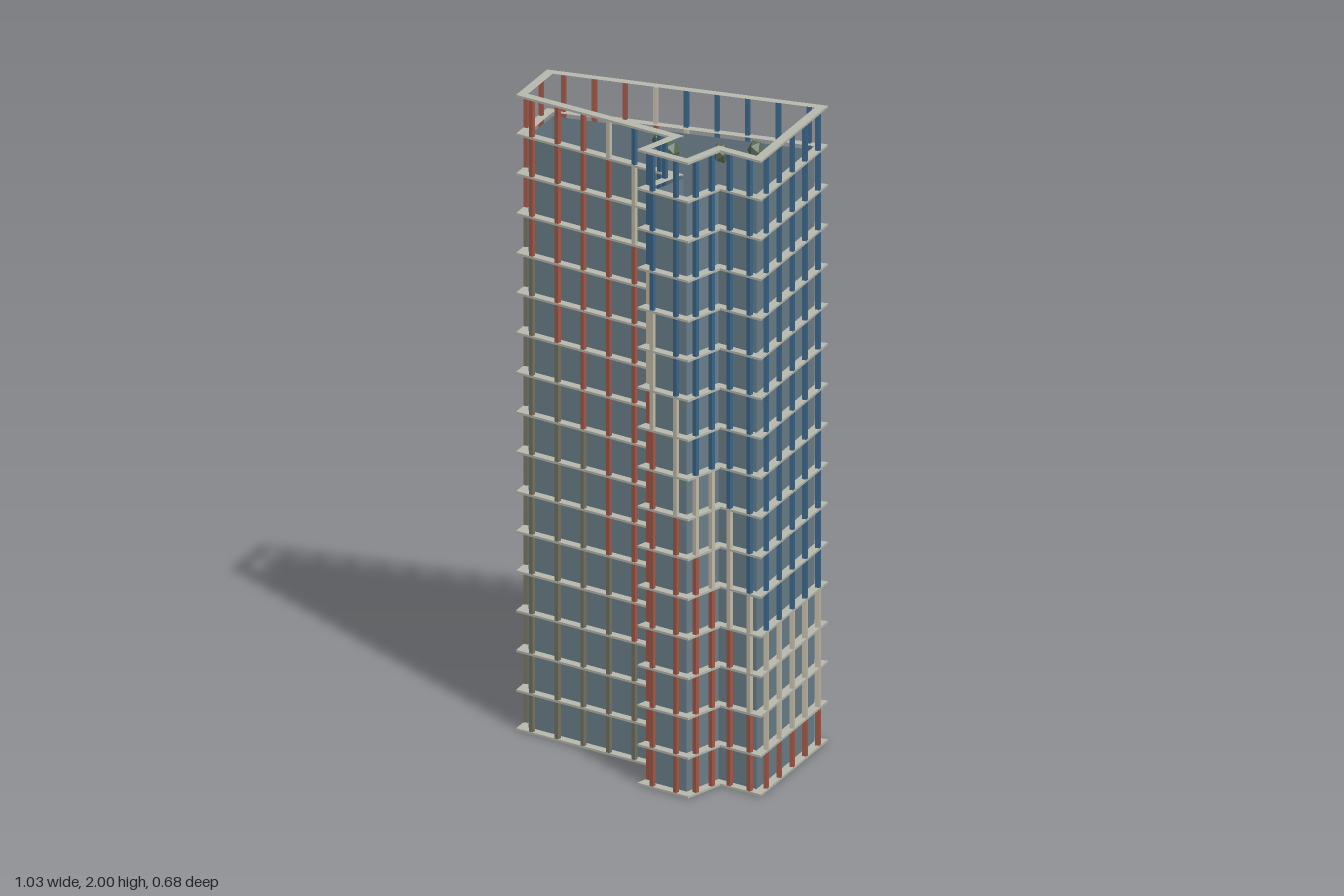
import * as THREE from 'three';
import { mergeGeometries } from 'three/addons/utils/BufferGeometryUtils.js';

const STOREY = 0.125, LEDGE = 0.03, SLAB = 0.007, BAR = 0.013;

// Ledge footprint (x, z), starting at the left-hand corner and running along the back
const outline = [
  [-0.516, 0.002], [0.314, -0.337], [0.516, 0.163], [0.36, 0.175],
  [0.371, 0.324], [0.176, 0.338], [0.164, 0.187], [-0.424, 0.231],
].map(([x, z]) => new THREE.Vector2(x, z));

const mat = (name, color, extra = {}) => {
  const m = new THREE.MeshStandardMaterial({ color, ...extra });
  m.name = name;
  return m;
};

// Move every edge of a footprint inward by d
function inset(pts, d) {
  const n = pts.length;
  return pts.map((p, i) => {
    const e0 = p.clone().sub(pts[(i + n - 1) % n]).normalize();
    const e1 = pts[(i + 1) % n].clone().sub(p).normalize();
    const n0 = new THREE.Vector2(-e0.y, e0.x), n1 = new THREE.Vector2(-e1.y, e1.x);
    const sum = n0.clone().add(n1);
    return p.clone().addScaledVector(sum, d / (1 + n0.dot(n1)));
  });
}

// Visit each edge with its start, end, length and outward heading
function eachEdge(pts, fn) {
  pts.forEach((a, i) => {
    const b = pts[(i + 1) % pts.length];
    const d = b.clone().sub(a);
    fn(a, b, d.length(), Math.atan2(d.y, -d.x));
  });
}

export function createModel() {
  const group = new THREE.Group();
  const add = (name, geometry, material) => {
    const mesh = new THREE.Mesh(geometry, material);
    mesh.name = name;
    group.add(mesh);
    return mesh;
  };

  const glass = mat('slate glass', 0x6b7f8a, { side: THREE.DoubleSide });
  const stone = mat('pale stone', 0xb7b8ad);
  const leaf = mat('dark green', 0x586a55, { flatShading: true });
  const bars = {
    blue: mat('steel blue', 0x3b6487),
    cream: mat('cream', 0xc2bba8),
    red: mat('brick red', 0xa05747),
    olive: mat('dull olive', 0x737160),
  };

  // Open glass shell, without floor or roof
  const wallLine = inset(outline, LEDGE);
  const wallTop = 1.866;
  const panels = [];
  eachEdge(wallLine, (a, b, length, heading) => {
    panels.push(new THREE.PlaneGeometry(length, wallTop).rotateY(heading)
      .translate((a.x + b.x) / 2, wallTop / 2, (a.y + b.y) / 2));
  });
  add('glassWalls', mergeGeometries(panels), glass);

  // A thin ledge ring at every storey, the last one carried above the walls
  const flip = (p) => new THREE.Vector2(p.x, -p.y);
  const ringShape = new THREE.Shape(outline.map(flip));
  ringShape.holes.push(new THREE.Path(wallLine.map(flip)));
  const ring = new THREE.ExtrudeGeometry(ringShape, { depth: SLAB, bevelEnabled: false });
  ring.rotateX(-Math.PI / 2);
  for (let i = 0; i <= 16; i++) {
    const y = THREE.MathUtils.clamp(i * STOREY - SLAB / 2, 0, 2 - SLAB);
    add('floorLedge' + i, ring, stone).position.y = y;
  }

  // Upright bars along the ledge rim, with colours stepping diagonally across the faces
  const pieces = { blue: [], cream: [], red: [], olive: [] };
  const top = 2 - SLAB;
  const snap = (y) => THREE.MathUtils.clamp(Math.round(y / STOREY) * STOREY, 0, top);
  eachEdge(inset(outline, BAR / 2 + 0.001), (a, b, length, heading) => {
    const count = Math.ceil(length / 0.1 - 0.4);
    for (let i = 0; i < count; i++) {
      const p = a.clone().lerp(b, (i + 0.5) / count);
      const s = 0.925 * p.x - 0.38 * p.y;
      const rise = 1.43 - 3.2 * s;
      const steps = [0, snap(0.2 - 3.1 * s), snap(rise), snap(rise + 0.34), top];
      ['olive', 'red', 'cream', 'blue'].forEach((colour, k) => {
        const y0 = steps[k], y1 = steps[k + 1];
        if (y1 - y0 < 0.01) return;
        pieces[colour].push(new THREE.BoxGeometry(BAR, y1 - y0, BAR).rotateY(heading)
          .translate(p.x, (y0 + y1) / 2, p.y));
      });
    }
  });
  for (const colour in pieces) add(colour + 'Bars', mergeGeometries(pieces[colour]), bars[colour]);

  // Rooftop shrubs
  const shrub = new THREE.IcosahedronGeometry(0.0265, 0).scale(1, 1.3, 1);
  [[0.001, 0.055], [0.09, 0.101], [0.209, 0.012], [0.268, -0.077]].forEach(([x, z], i) => {
    add('shrub' + (i + 1), shrub, leaf).position.set(x, 1.914, z);
  });

  return group;
}
